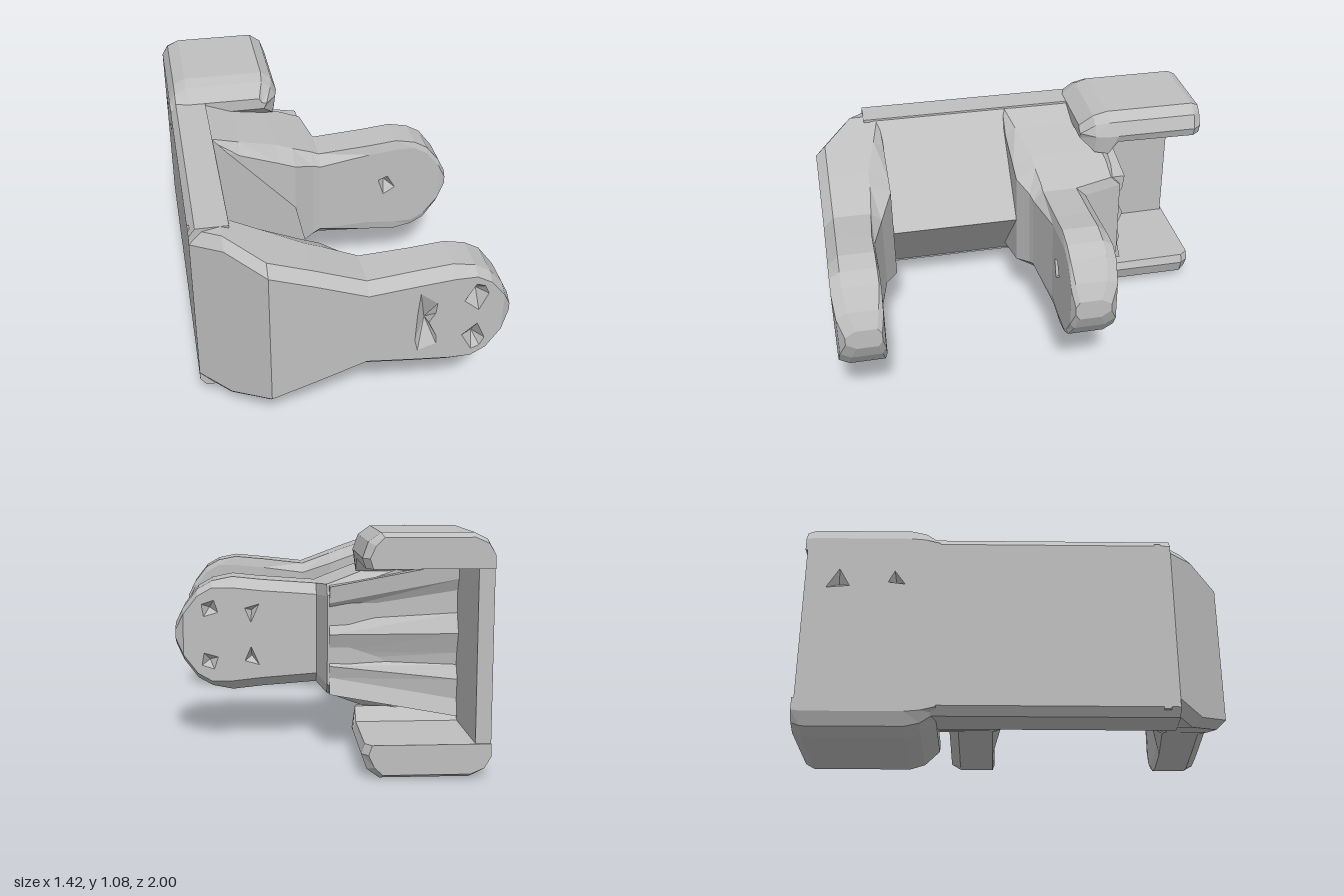
import * as THREE from 'three';

const MID = 0.55; // height of the horizontal symmetry plane

const grey = new THREE.MeshStandardMaterial({ color: 0xbfbfbf, flatShading: true, side: THREE.DoubleSide });
grey.name = 'plain grey';

function meshOf(name, positions, index) {
  const g = new THREE.BufferGeometry();
  g.setAttribute('position', new THREE.Float32BufferAttribute(positions, 3));
  g.setIndex(index);
  const flat = g.toNonIndexed();
  flat.computeVertexNormals();
  const m = new THREE.Mesh(flat, grey);
  m.name = name;
  return m;
}

const flipped = (index) => {
  const out = [];
  for (let i = 0; i < index.length; i += 3) out.push(index[i], index[i + 2], index[i + 1]);
  return out;
};

// Skin over equal-sized rings; rings run clockwise seen from the end they advance to
function loft(name, rings, flip = false, skip = () => false) {
  const n = rings[0].length, last = (rings.length - 1) * n;
  const index = [];
  for (let i = 0; i < rings.length - 1; i++) {
    for (let k = 0; k < n; k++) {
      if (skip(i, k)) continue;
      const a = i * n + k, d = i * n + (k + 1) % n;
      index.push(a, a + n, d + n, a, d + n, d);
    }
  }
  for (let k = 1; k < n - 1; k++) {
    index.push(0, k, k + 1, last, last + k + 1, last + k);
  }
  return meshOf(name, rings.flat(2), flip ? flipped(index) : index);
}

// Flat face at height z with pyramid-shaped dents sunk into it
function dentedPanel(name, outline, holes, z, s, depth = 0.06) {
  const group = new THREE.Group();
  group.name = name;
  const shape = new THREE.Shape(outline.map(p => new THREE.Vector2(...p)));
  holes.forEach(h => shape.holes.push(new THREE.Path(h.map(p => new THREE.Vector2(...p)))));
  const flat = new THREE.ShapeGeometry(shape).translate(0, 0, z);
  const idx = Array.from(flat.index.array);
  group.add(meshOf(name + 'Face', Array.from(flat.attributes.position.array), s < 0 ? flipped(idx) : idx));
  holes.forEach(h => {
    const pts = h.map(p => new THREE.Vector2(...p));
    const ccw = THREE.ShapeUtils.area(pts) > 0;
    const c = pts.reduce((a, p) => a.add(p), new THREE.Vector2()).divideScalar(pts.length);
    const pos = pts.flatMap(p => [p.x, p.y, z]).concat([c.x, c.y, z - s * depth]);
    const tri = [];
    pts.forEach((p, i) => tri.push(i, (i + 1) % pts.length, pts.length));
    group.add(meshOf('dent', pos, ccw === (s > 0) ? tri : flipped(tri)));
  });
  return group;
}

// Clamp arm from stations [x, half height, inner depth, outer depth, inner chamfer]
function arm(name, stations, s, skip) {
  const rings = stations.map(([x, h, inn, out, ci]) => {
    const cy = x > 0.5 ? 0.03 : 0.05, f = h - cy, co = 0.05;
    const ring = [[f, out], [h, out - co], [h, inn + ci], [f, inn], [-f, inn], [-h, inn + ci], [-h, out - co], [-f, out]];
    return ring.map(([y, z]) => [x, MID + y, s * z]);
  });
  return loft(name, rings, s < 0, skip);
}

// Outline of the flat face of an arm over a run of stations
function faceOutline(stations) {
  const f = stations.map(([x, h]) => [x, h - (x > 0.5 ? 0.03 : 0.05)]);
  return [...f.map(([x, h]) => [x, MID - h]), ...f.reverse().map(([x, h]) => [x, MID + h])];
}

const mirrorY = (pts) => pts.map(([x, y]) => [x, 2 * MID - y]);

export function createModel() {
  const model = new THREE.Group();
  model.name = 'clampBracket';

  // Front arm with its slanted outer corner
  const front = [
    [-0.71, 0.43, 0.65, 0.735, 0.01], [-0.57, 0.46, 0.65, 0.855, 0.01], [-0.4, 0.40, 0.65, 1, 0.05],
    [-0.2, 0.33, 0.65, 1, 0.1], [-0.12, 0.30, 0.65, 1, 0.1], [0.04, 0.24, 0.715, 1, 0.05],
    [0.27, 0.265, 0.77, 1, 0.01], [0.43, 0.28, 0.77, 1, 0.01], [0.53, 0.26, 0.77, 1, 0.01],
    [0.6, 0.22, 0.77, 1, 0.01], [0.67, 0.13, 0.775, 0.99, 0.02], [0.71, 0.05, 0.79, 0.96, 0.02]];
  model.add(arm('frontArm', front, 1, (i, k) => k === 7 && i >= 2 && i < 9));
  const eye = [[0.53, 0.74], [0.57, 0.725], [0.59, 0.68], [0.55, 0.59], [0.48, 0.65]];
  const slit = [[0.275, 0.72], [0.355, 0.655], [0.35, 0.6], [0.32, 0.55], [0.36, 0.46], [0.36, 0.42], [0.275, 0.39], [0.26, 0.45], [0.265, 0.6]];
  model.add(dentedPanel('frontArmOuterFace', faceOutline(front.slice(2, 10)), [slit, eye, mirrorY(eye)], 1, 1));

  // Rear arm, thick near the plate and stepping down to a thin tongue
  const rear = [
    [-0.7, 0.43, 0, 0.5, 0.01], [-0.56, 0.46, 0, 0.5, 0.01], [-0.4, 0.40, 0, 0.5, 0.05],
    [-0.2, 0.33, 0, 0.52, 0.1], [-0.12, 0.30, 0, 0.53, 0.1], [-0.02, 0.262, 0.05, 0.53, 0.06],
    [0.02, 0.245, 0.06, 0.335, 0.05], [0.29, 0.265, 0.1, 0.335, 0.01], [0.43, 0.28, 0.1, 0.335, 0.01],
    [0.53, 0.26, 0.1, 0.335, 0.01], [0.6, 0.22, 0.1, 0.335, 0.01], [0.67, 0.13, 0.1, 0.325, 0.02],
    [0.71, 0.05, 0.115, 0.29, 0.02]];
  model.add(arm('rearArm', rear, -1, (i, k) => (k === 7 && i >= 6 && i < 10) || (k === 3 && i >= 7 && i < 10)));
  const nick = [[0.3, 0.7], [0.37, 0.68], [0.34, 0.61]];
  const tipNick = [[0.52, 0.72], [0.58, 0.7], [0.57, 0.64], [0.5, 0.66]];
  model.add(dentedPanel('rearArmOuterFace', faceOutline(rear.slice(6, 11)),
    [nick, mirrorY(nick), tipNick, mirrorY(tipNick)], -0.335, -1));
  model.add(dentedPanel('rearArmInnerFace', faceOutline(rear.slice(7, 11)),
    [[[0.34, 0.6], [0.39, 0.62], [0.43, 0.55], [0.37, 0.51]]], -0.1, 1));

  // Rough ribs across the back of the rear arm
  const ribs = [[-0.45, 1], [-0.555, 1], [-0.545, 0.75], [-0.515, 0.6], [-0.515, 0.35], [-0.555, 0.1],
    [-0.52, -0.2], [-0.51, -0.35], [-0.545, -0.5], [-0.53, -0.75], [-0.555, -1], [-0.45, -1]];
  model.add(loft('ribs', [[-0.66, 0.38], [-0.03, 0.25]].map(([x, h], i) =>
    ribs.map(([z, t]) => [x, MID + t * h + (i ? 0.01 : -0.01) * Math.sin(t * 7), z]))));

  // V-shaped jaw between the arms
  const jaw = [[-0.6, 0.1], [-0.6, 1], [-0.53, 1], [-0.12, MID], [-0.53, 0.1]];
  model.add(loft('jawRidge', [-0.05, 0.7].map(z => jaw.map(([x, y]) => [x, y, z]))));

  // Back plate and its thinner continuation, chamfered on the outside
  const slab = (name, inner, zs) => loft(name, zs.map(z =>
    [[-0.71, 0.13], [-0.71, 0.97], [-0.68, 1.01], [inner, 1.01], [inner, 0.09], [-0.68, 0.09]]
      .map(([x, y]) => [x, y, z])), false, (i, k) => k === 0);
  model.add(slab('backPlate', -0.53, [-0.45, 0.735]));
  model.add(slab('rearWall', -0.64, [-0.99, -0.44]));
  const outer = dentedPanel('backPlateOuterFace', [[-0.99, 0.13], [0.735, 0.13], [0.735, 0.97], [-0.99, 0.97]],
    [[[-0.89, 0.73], [-0.78, 0.74], [-0.83, 0.83]], [[-0.6, 0.76], [-0.52, 0.75], [-0.57, 0.82]]], 0.71, 1, 0.04);
  outer.rotation.y = -Math.PI / 2;
  model.add(outer);

  // Upper and lower rear flanges: [z, top drop, side inset, underside height]
  const sections = [[-1, 0.02, 0.03, 0.935], [-0.96, 0, 0, 0.935], [-0.55, 0, 0, 0.94], [-0.5, 0, 0, 0.875],
    [-0.43, 0.02, 0.015, 0.885], [-0.36, 0.08, 0.07, 0.95]];
  for (const [name, side] of [['upperFlange', 1], ['lowerFlange', -1]]) {
    const rings = sections.map(([z, drop, inset, under]) => [
      [-0.71, under], [-0.71, Math.max(1.0 - drop * 0.3, under + 0.01)], [-0.68, 1.06 - drop * 0.8], [-0.62, 1.09 - drop],
      [-0.22 - inset * 0.4, 1.09 - drop], [-0.165 - inset, 1.05 - drop * 0.8], [-0.14 - inset, 0.98], [-0.155 - inset, under],
    ].map(([x, y]) => [x, MID + side * (y - MID), z]));
    model.add(loft(name, rings, side < 0));
  }
  return model;
}
